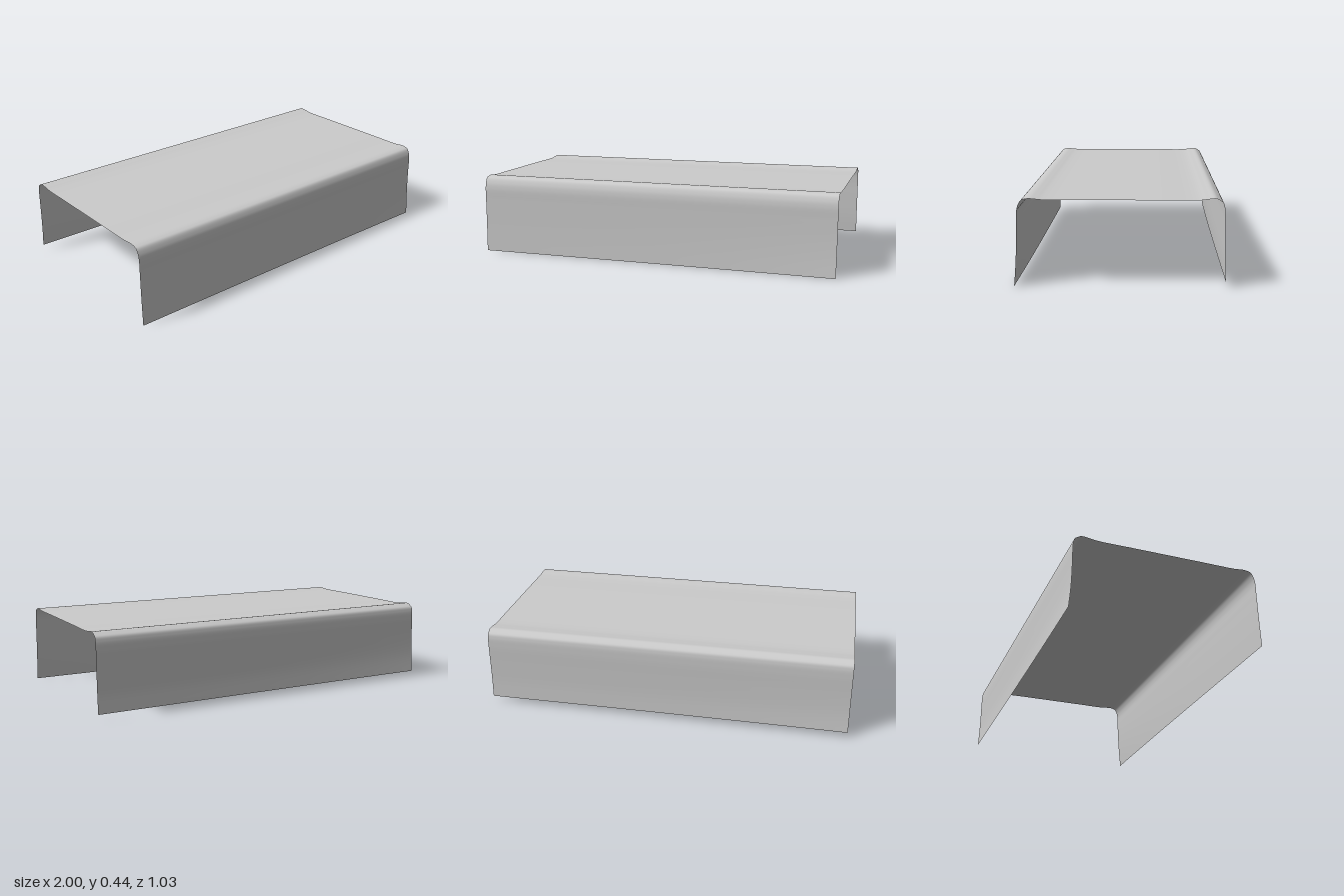
import * as THREE from 'three';
import { ParametricGeometry } from 'three/addons/geometries/ParametricGeometry.js';

export function createModel() {
  const model = new THREE.Group();

  // Cross-section [z, y] from the front hem, over the top, to the back hem
  const section = [
    [0.505, 0], [0.502, 0.1], [0.5, 0.2], [0.499, 0.3], [0.498, 0.365], [0.492, 0.395],
    [0.478, 0.421], [0.46, 0.429], [0.437, 0.432], [0.41, 0.43], [0.38, 0.427],
    [0.2, 0.427], [0, 0.427], [-0.2, 0.427],
    [-0.37, 0.427], [-0.42, 0.433], [-0.455, 0.436], [-0.475, 0.427], [-0.491, 0.415],
    [-0.497, 0.395], [-0.5, 0.35], [-0.501, 0.25], [-0.503, 0.13], [-0.508, 0.03],
  ];
  const curve = new THREE.CatmullRomCurve3(section.map(([z, y]) => new THREE.Vector3(0, y, z)));

  // The hems flare outward slightly towards opposite ends
  const sheet = (u, v, target) => {
    curve.getPoint(v, target);
    const x = 2 * u - 1;
    const drop = Math.max(0, 0.35 - target.y) / 0.35;
    const front = target.z > 0;
    const along = front ? (1 + x) / 2 : (1 - x) / 2;
    target.z += (front ? 1 : -1) * 0.011 * along ** 3 * drop ** 2;
    target.x = x;
  };

  const cover = new THREE.Mesh(
    new ParametricGeometry(sheet, 16, 92),
    new THREE.MeshStandardMaterial({ color: 0xcccccc, side: THREE.DoubleSide }),
  );
  cover.name = 'drapedCover';
  model.add(cover);
  return model;
}
